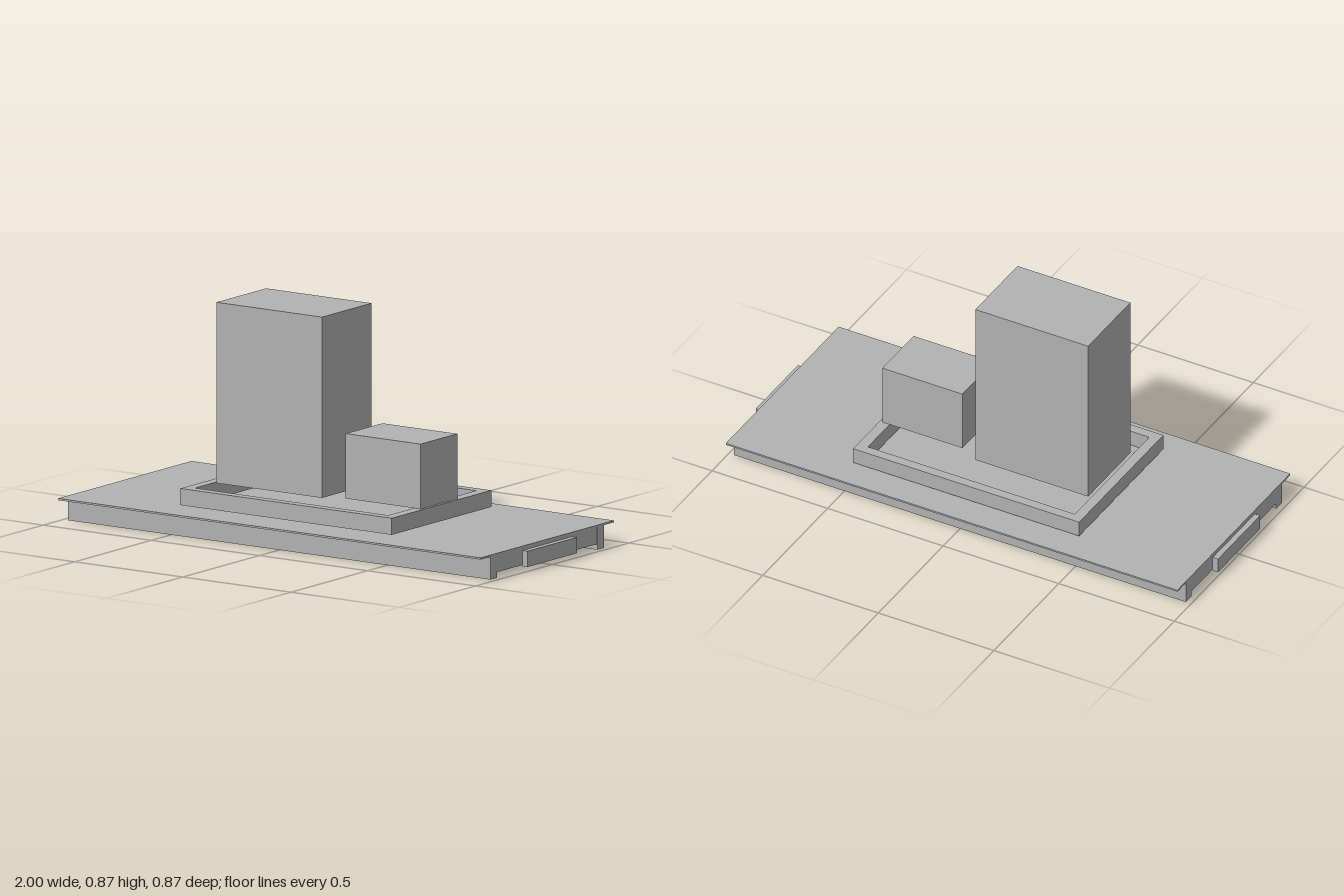
import * as THREE from 'three';

export function createModel() {
  const model = new THREE.Group();
  const grey = new THREE.MeshStandardMaterial({ color: 0xb2b2b2 });
  grey.name = 'plain grey';

  const add = (name, geometry, x, y, z) => {
    const mesh = new THREE.Mesh(geometry, grey);
    mesh.name = name;
    mesh.position.set(x, y, z);
    model.add(mesh);
  };
  // box given by its limits on each axis
  const box = (name, x0, x1, y0, y1, z0, z1) =>
    add(name, new THREE.BoxGeometry(x1 - x0, y1 - y0, z1 - z0),
      (x0 + x1) / 2, (y0 + y1) / 2, (z0 + z1) / 2);
  // upright round post
  const post = (name, r, x, y0, y1, z) =>
    add(name, new THREE.CylinderGeometry(r, r, y1 - y0, 24), x, (y0 + y1) / 2, z);

  // deck plate on two long rails
  box('deck', -0.977, 0.977, 0.088, 0.095, -0.435, 0.435);
  box('leftRail', -0.977, 0.977, 0, 0.088, 0.327, 0.37);
  box('rightRail', -0.977, 0.977, 0, 0.088, -0.37, -0.327);

  // cross beams between the rails
  for (let i = -2; i <= 2; i++) {
    const x = i * 0.477;
    box('crossBeam', x - 0.022, x + 0.022, 0.022, 0.088, -0.327, 0.327);
  }

  for (const s of [-1, 1]) {
    // end bumpers and pivot pins under the deck
    box('bumper', s * 0.9885 - 0.0115, s * 0.9885 + 0.0115, 0.017, 0.078, -0.1625, 0.1625);
    post('pivotPin', 0.024, s * 0.76, 0, 0.088, 0);
    // short feet carrying the raised frame
    for (const t of [-1, 1]) post('frameFoot', 0.01, s * 0.413, 0.095, 0.108, t * 0.25);
  }

  // open rectangular frame
  const outline = new THREE.Shape([[-0.49, -0.325], [0.488, -0.325], [0.488, 0.325], [-0.49, 0.325]]
    .map(p => new THREE.Vector2(...p)));
  outline.holes.push(new THREE.Path([[-0.45, -0.287], [-0.45, 0.287], [0.445, 0.287], [0.445, -0.287]]
    .map(p => new THREE.Vector2(...p))));
  const frame = new THREE.ExtrudeGeometry(outline, { depth: 0.064, bevelEnabled: false });
  frame.rotateX(-Math.PI / 2);
  add('baseFrame', frame, 0, 0.108, 0);

  // tall and small housings
  box('tallHousing', -0.438, 0.05, 0.172, 0.868, -0.1625, 0.1625);
  box('smallHousing', 0.13, 0.476, 0.172, 0.422, -0.12, 0.12);

  return model;
}
